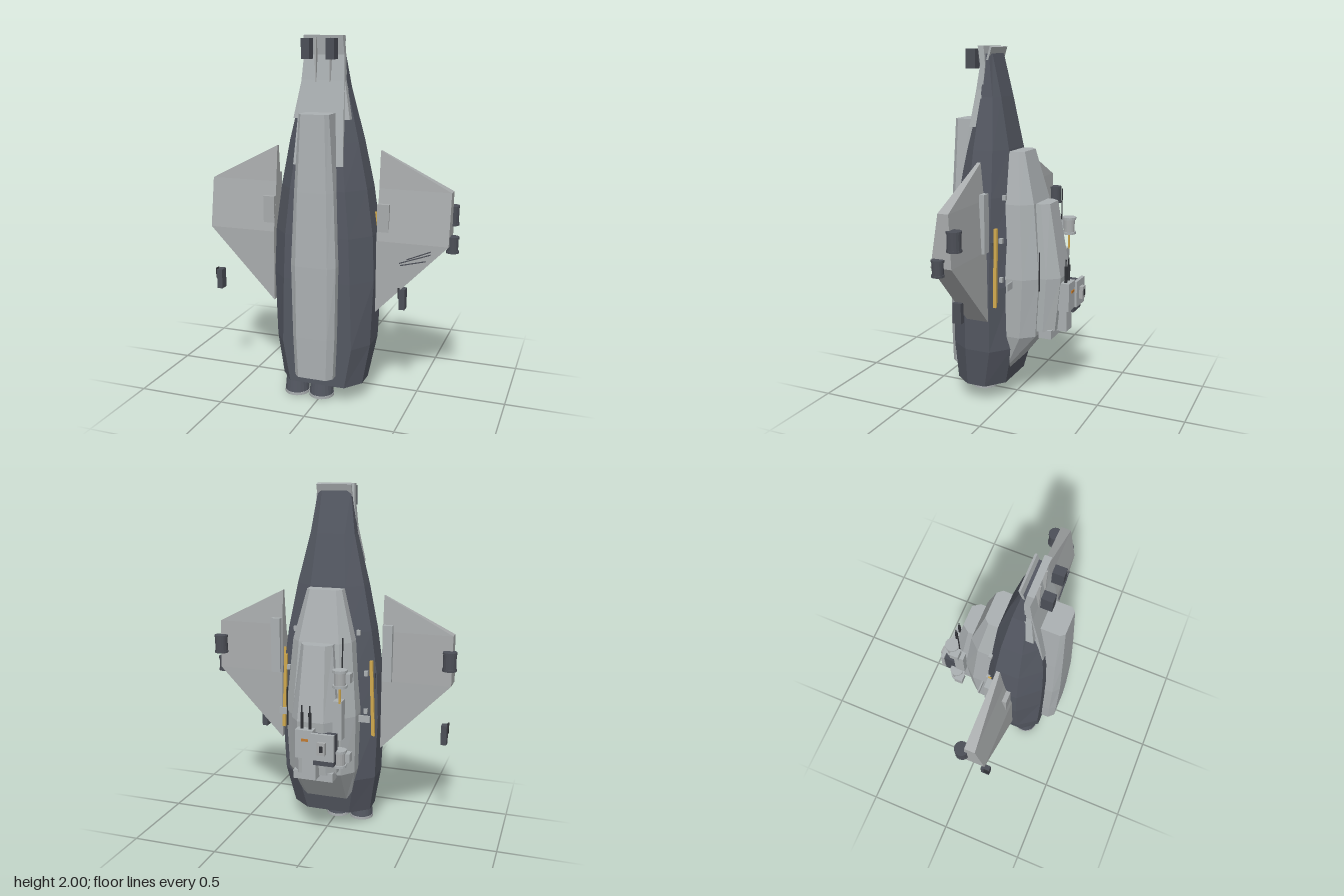
import * as THREE from 'three';

const mat = (name, color, side = THREE.FrontSide) => {
  const m = new THREE.MeshStandardMaterial({ color, side, flatShading: true });
  m.name = name;
  return m;
};

// Ring of eight corners: side half-width w, front and back half-widths, four depths
const octagon = (w, wf, wb, zF, zf, zb, zB) => [
  [w, zb], [w, zf], [wf, zF], [-wf, zF], [-w, zf], [-w, zb], [-wb, zB], [wb, zB]];
const rect = (xa, xb, z0, z1) => {
  const a = Math.min(xa, xb), b = Math.max(xa, xb);
  return [[b, z0], [b, z1], [a, z1], [a, z0]];
};

// Closed loft through rings stacked upward in y
function loft(sections) {
  const pos = [], n = sections[0][1].length;
  const put = (j, i) => {
    const [y, ring] = sections[j], p = ring[i % n];
    pos.push(p[0], y, p[1]);
  };
  for (let j = 0; j < sections.length - 1; j++) {
    for (let i = 0; i < n; i++) {
      put(j, i); put(j + 1, i); put(j, i + 1);
      put(j, i + 1); put(j + 1, i); put(j + 1, i + 1);
    }
  }
  const top = sections.length - 1;
  for (let i = 1; i < n - 1; i++) {
    put(0, 0); put(0, i); put(0, i + 1);
    put(top, 0); put(top, i + 1); put(top, i);
  }
  const g = new THREE.BufferGeometry();
  g.setAttribute('position', new THREE.Float32BufferAttribute(pos, 3));
  g.computeVertexNormals();
  return g;
}

export function createModel() {
  const root = new THREE.Group();
  root.name = 'spaceship';
  const light = mat('light grey', 0xabb0b2);
  const wingGrey = mat('wing grey', 0xa8abac);
  const dark = mat('slate hull', 0x545862);
  const metal = mat('dark metal', 0x4c4f57);
  const nozzleMat = mat('nozzle slate', 0x545862, THREE.DoubleSide);
  const black = mat('near black', 0x303236);
  const gold = mat('gold', 0xcfa84e);
  const orange = mat('orange', 0xc07a30);

  const add = (name, geo, m, x = 0, y = 0, z = 0) => {
    const mesh = new THREE.Mesh(geo, m);
    mesh.name = name;
    mesh.position.set(x, y, z);
    root.add(mesh);
    return mesh;
  };
  const box = (name, m, x, y, z, w, h, d) => add(name, new THREE.BoxGeometry(w, h, d), m, x, y, z);
  const cyl = (name, m, x, y, z, r, h, sides = 16) =>
    add(name, new THREE.CylinderGeometry(r, r, h, sides), m, x, y, z);

  // Main hull, tail at the bottom and nose at the top
  add('hull', loft([
    [0.1, octagon(0.235, 0.16, 0.13, 0.305, 0.21, 0.1, 0.015)],
    [0.33, octagon(0.275, 0.2, 0.17, 0.305, 0.2, 0.05, -0.04)],
    [0.7, octagon(0.29, 0.19, 0.17, 0.305, 0.19, 0.04, -0.045)],
    [0.95, octagon(0.28, 0.18, 0.16, 0.3, 0.185, 0.04, -0.04)],
    [1.2, octagon(0.245, 0.155, 0.13, 0.285, 0.18, 0.045, -0.025)],
    [1.45, octagon(0.195, 0.125, 0.1, 0.25, 0.175, 0.06, 0.005)],
    [1.73, octagon(0.128, 0.1, 0.08, 0.185, 0.16, 0.09, 0.06)],
    [1.96, octagon(0.095, 0.085, 0.07, 0.15, 0.145, 0.125, 0.115)],
  ]), dark);

  // Pale prow and cheeks along the front of the nose
  add('prow', loft([
    [1.33, rect(-0.14, 0.14, 0.2, 0.272)],
    [1.57, rect(-0.128, 0.128, 0.17, 0.23)],
    [1.77, rect(-0.12, 0.12, 0.15, 0.19)],
    [1.9, rect(-0.112, 0.112, 0.14, 0.17)],
    [2.0, rect(-0.108, 0.108, 0.15, 0.185)],
  ]), light);
  add('cheeks', loft([
    [1.57, rect(-0.158, 0.158, 0.175, 0.216)],
    [1.77, rect(-0.121, 0.121, 0.15, 0.185)],
  ]), light);
  box('noseTipPlate', light, 0, 1.953, 0.125, 0.2, 0.09, 0.012).rotation.x = -0.3;
  for (const s of [-1, 1]) {
    box('noseRib', wingGrey, s * 0.04, 1.87, 0.182, 0.008, 0.24, 0.02);
    box('noseSensor', metal, s * 0.068, 1.932, 0.24, 0.045, 0.105, 0.058);
  }

  // Keel along the front
  add('keel', loft([
    [0.165, octagon(0.11, 0.08, 0.11, 0.382, 0.35, 0.24, 0.2)],
    [0.4, octagon(0.12, 0.088, 0.12, 0.385, 0.35, 0.24, 0.2)],
    [0.8, octagon(0.127, 0.09, 0.127, 0.383, 0.35, 0.24, 0.2)],
    [1.2, octagon(0.11, 0.08, 0.11, 0.367, 0.335, 0.23, 0.2)],
    [1.605, octagon(0.083, 0.065, 0.083, 0.347, 0.325, 0.21, 0.17)],
  ]), light);

  // Stepped superstructure on the back
  add('lowerDeck', loft([
    [0.2, octagon(0.145, 0.14, 0.12, 0.06, 0.03, 0.005, -0.012)],
    [0.41, octagon(0.195, 0.14, 0.135, 0.06, 0.03, -0.1, -0.17)],
    [0.75, octagon(0.205, 0.14, 0.14, 0.06, 0.03, -0.12, -0.192)],
    [1.16, octagon(0.17, 0.12, 0.115, 0.06, 0.03, -0.09, -0.15)],
    [1.44, octagon(0.1, 0.09, 0.075, 0.06, 0.04, -0.05, -0.078)],
  ]), light);
  add('upperDeck', loft([
    [0.44, octagon(0.125, 0.12, 0.08, -0.1, -0.12, -0.21, -0.265)],
    [0.75, octagon(0.13, 0.12, 0.075, -0.1, -0.12, -0.23, -0.295)],
    [1.16, octagon(0.09, 0.08, 0.06, -0.1, -0.12, -0.18, -0.222)],
  ]), light);
  box('deckLedge', light, 0, 0.425, -0.22, 0.23, 0.05, 0.075);

  // Equipment on the deck
  box('equipmentBox', light, 0.02, 0.64, -0.31, 0.1, 0.16, 0.065);
  box('equipmentFoot', light, 0, 0.495, -0.29, 0.08, 0.13, 0.06);
  box('equipmentStripe', orange, 0.015, 0.665, -0.344, 0.04, 0.014, 0.006);
  for (const x of [-0.005, 0.04]) {
    cyl('antenna', black, x, 0.76, -0.312, 0.009, 0.1, 8);
    cyl('antennaTip', black, x, 0.825, -0.312, 0.004, 0.05, 6);
  }
  box('panelBase', metal, -0.088, 0.61, -0.3, 0.115, 0.17, 0.07);
  box('panel', light, -0.088, 0.635, -0.345, 0.128, 0.15, 0.02);
  box('panelKnob', wingGrey, -0.088, 0.635, -0.365, 0.045, 0.07, 0.022);
  box('panelSlot', black, -0.088, 0.635, -0.377, 0.018, 0.035, 0.004);
  box('sideLocker', light, -0.14, 0.76, -0.225, 0.05, 0.22, 0.06);
  for (const y of [0.55, 1.0]) {
    cyl('tank', wingGrey, -0.155, y, -0.255, 0.032, 0.085);
    for (const e of [-1, 1]) cyl('tankRim', light, -0.155, y + e * 0.042, -0.255, 0.04, 0.014);
    box('tankBracket', light, -0.185, y, -0.225, 0.05, 0.05, 0.05);
  }
  cyl('tankCable', gold, -0.155, 0.91, -0.255, 0.006, 0.1, 6);
  cyl('whipAntenna', black, -0.155, 1.12, -0.21, 0.004, 0.18, 6);
  cyl('sideMast', black, 0.165, 0.8, -0.205, 0.004, 0.22, 6);

  // Wings with fittings, one per side
  for (const s of [-1, 1]) {
    const o = s < 0 ? 0.01 : 0;
    const xr = s * (0.295 + o), xt = s * (0.688 + o);
    add('wing', loft([
      [0.52, rect(xr, xr + s * 0.002, 0.045, 0.175)],
      [0.92, rect(xr, xt, 0.05, 0.168)],
      [1.2, rect(xr, xt, 0.062, 0.122)],
      [1.4, rect(xr, xr + s * 0.002, 0.08, 0.1)],
    ]), wingGrey);
    box('wingRootPlate', wingGrey, s * (0.328 + o), 1.035, 0.145, 0.065, 0.17, 0.03);
    box('wingRootRail', light, s * (0.328 + o), 1.08, 0.047, 0.055, 0.32, 0.03);
    cyl('wingTipPod', metal, s * (0.677 + o), 1.065, 0.038, 0.037, 0.1);
    for (const e of [-1, 1]) {
      cyl('wingTipPodRim', metal, s * (0.677 + o), 1.065 + e * 0.047, 0.038, 0.04, 0.012);
    }

    // Hull side strips, brackets and knobs
    box('sideStrip', gold, s * 0.263, 0.82, 0.013, 0.018, 0.44, 0.018).rotation.z = s * 0.04;
    box('sideBracket', metal, s * 0.25, 0.92, 0.045, 0.05, 0.09, 0.045);
    box('shoulderPlate', light, s * 0.225, 0.72, -0.058, 0.09, 0.04, 0.008);
    for (const y of [0.75, 0.97, 1.2]) {
      box('shoulderKnob', light, s * (y > 1.1 ? 0.185 : 0.23), y, -0.006, 0.02, 0.028, 0.02);
    }
  }
  for (const y of [0.775, 1.015]) box('goldConnector', gold, 0.27, y, 0.087, 0.054, 0.095, 0.014);

  // Second pod and loose struts on the left wing
  cyl('lowerPod', metal, 0.7, 0.925, 0.12, 0.03, 0.075);
  for (const e of [-1, 1]) cyl('lowerPodRim', metal, 0.7, 0.925 + e * 0.038, 0.12, 0.034, 0.012);
  for (const [x, y, len, a] of [[0.51, 0.84, 0.18, 0.35], [0.5, 0.815, 0.14, 0.25],
    [0.53, 0.86, 0.14, 0.4]]) {
    box('wingStrut', metal, x, y, 0.172, len, 0.005, 0.008).rotation.z = a;
  }

  // Free-standing pods below the wings
  for (const x of [0.443, -0.655]) {
    box('looseSensor', metal, x, 0.605, 0.15, 0.033, 0.115, 0.05);
    box('looseSensorFin', black, x - 0.018, 0.64, 0.16, 0.008, 0.06, 0.03);
  }

  // Twin engine nozzles, open at the bottom
  for (const x of [-0.152, -0.004]) {
    const profile = [[0.06, 0.13], [0.062, 0.09], [0.069, 0.012], [0.057, 0.012], [0.045, 0.08], [0, 0.08]];
    add('nozzle', new THREE.LatheGeometry(profile.map(p => new THREE.Vector2(...p)), 20), nozzleMat, x, 0, 0.215);
    const rim = [[0.056, 0.016], [0.056, 0], [0.071, 0], [0.071, 0.016], [0.056, 0.016]];
    // Profile runs inner edge, bottom, outer edge so the faces point outward
    add('nozzleRim', new THREE.LatheGeometry(rim.map(p => new THREE.Vector2(...p)), 20), light, x, 0, 0.215);
  }
  return root;
}
